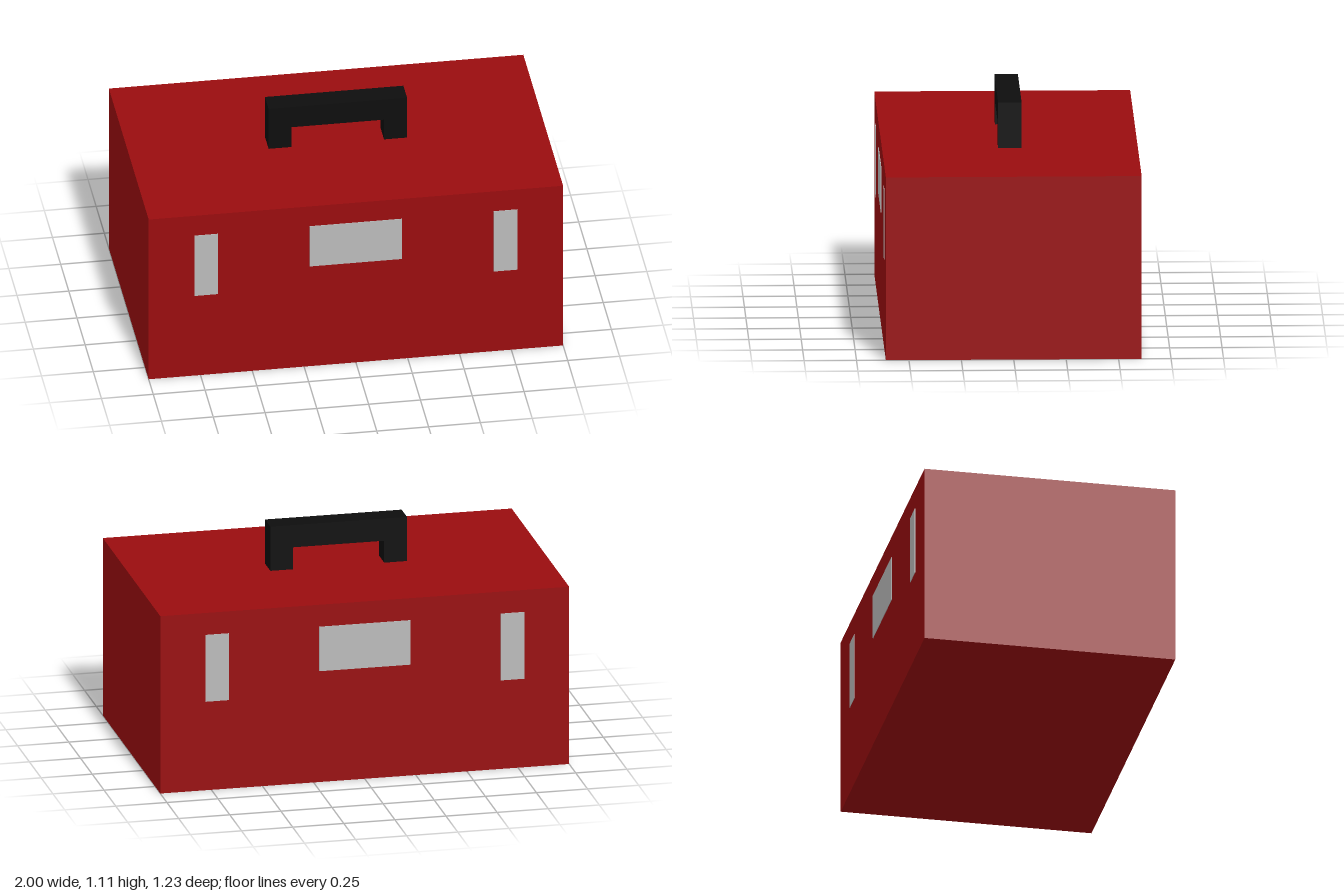
import * as THREE from 'three';

export function createModel() {
  const red = new THREE.MeshStandardMaterial({ name: 'red paint', color: 0x990c0e });
  const grey = new THREE.MeshStandardMaterial({ name: 'grey metal', color: 0xbababa });
  const black = new THREE.MeshStandardMaterial({ name: 'black grip', color: 0x0d0d0d });

  const W = 2, H = 0.89, D = 1.22;
  const model = new THREE.Group();
  model.name = 'toolbox';

  // Box given by its x and y limits, its depth and its centre in z
  function addBox(parent, name, material, x0, x1, y0, y1, depth, z = 0) {
    const mesh = new THREE.Mesh(new THREE.BoxGeometry(x1 - x0, y1 - y0, depth), material);
    mesh.position.set((x0 + x1) / 2, (y0 + y1) / 2, z);
    mesh.name = name;
    parent.add(mesh);
  }

  // Case
  addBox(model, 'case', red, -W / 2, W / 2, 0, H, D);

  // Latches and centre plate, the same on front and back
  for (const [label, side] of [['front', 1], ['back', -1]]) {
    const z = side * D / 2;
    addBox(model, label + 'Plate', grey, -0.223, 0.223, 0.557, 0.78, 0.006, z);
    addBox(model, label + 'LatchLeft', grey, 0.665, 0.78, 0.445, 0.78, 0.006, z);
    addBox(model, label + 'LatchRight', grey, -0.78, -0.665, 0.445, 0.78, 0.006, z);
  }

  // Carrying handle: one squared arch
  const outline = [[-0.334, H], [-0.334, 1.112], [0.334, 1.112], [0.334, H],
    [0.223, H], [0.223, 1.0], [-0.223, 1.0], [-0.223, H]];
  const arch = new THREE.Shape(outline.map(([x, y]) => new THREE.Vector2(x, y)));
  const depth = 0.112;
  const geometry = new THREE.ExtrudeGeometry(arch, { depth, bevelEnabled: false });
  geometry.translate(0, 0, -depth / 2);
  const handle = new THREE.Mesh(geometry, black);
  handle.name = 'handle';
  model.add(handle);

  return model;
}
